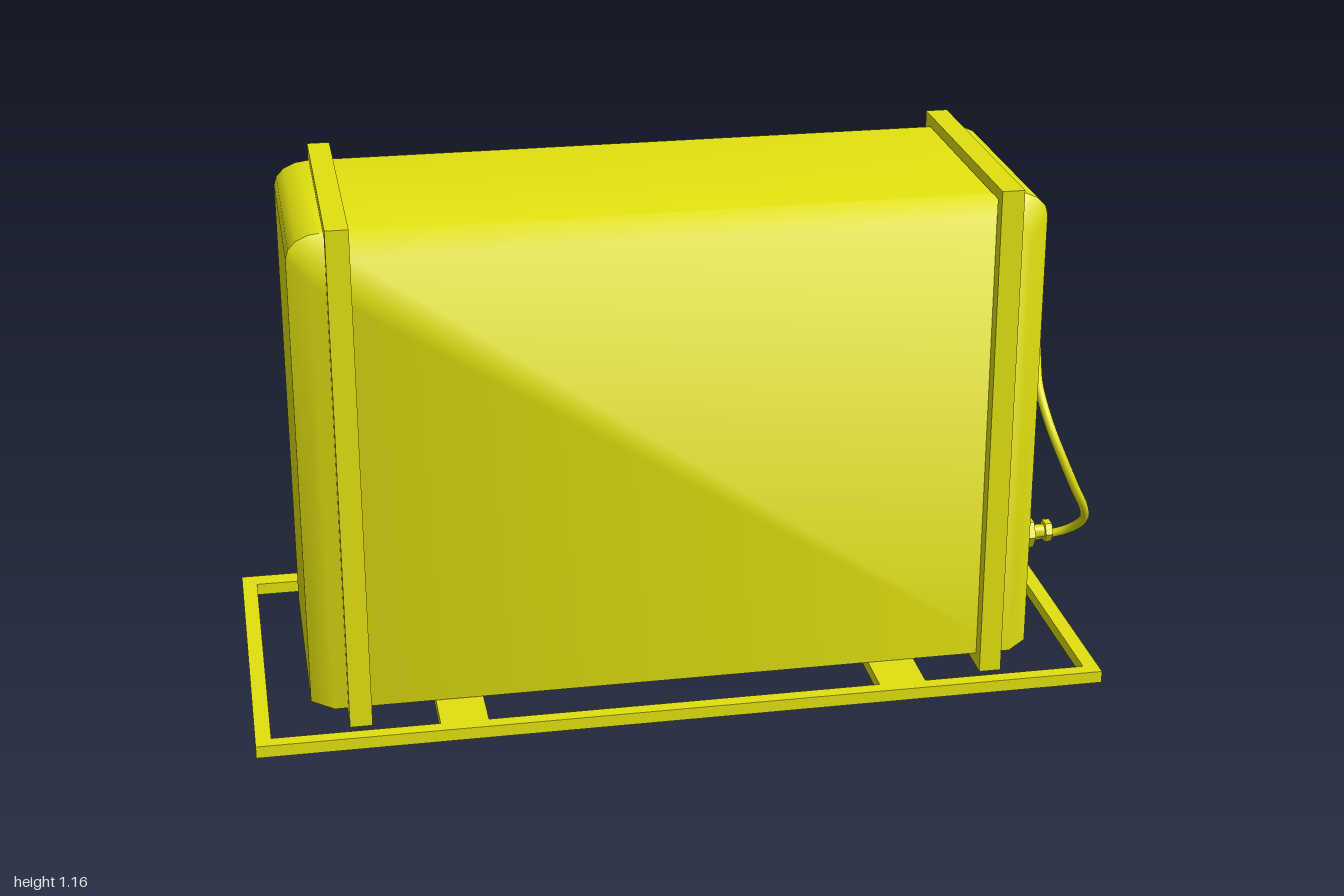
import * as THREE from 'three';
import { toCreasedNormals } from 'three/addons/utils/BufferGeometryUtils.js';

const yellow = new THREE.MeshStandardMaterial({ color: 0xe0e010 });
yellow.name = 'yellow';

function add(parent, name, geometry) {
  const mesh = new THREE.Mesh(geometry, yellow);
  mesh.name = name;
  parent.add(mesh);
  return mesh;
}

// Box given by its limits on each axis
function box(parent, name, x0, x1, y0, y1, z0, z1) {
  const mesh = add(parent, name, new THREE.BoxGeometry(x1 - x0, y1 - y0, z1 - z0));
  mesh.position.set((x0 + x1) / 2, (y0 + y1) / 2, (z0 + z1) / 2);
}

// Outline of the tank seen from the front: flat bottom, rounded top corners
function tankRing(insetX, insetY, z) {
  const centre = -0.0425, half = 0.8275 - insetX, top = 1.13 - insetY;
  const rx = 0.08, ry = 0.055, steps = 4;
  const right = [[half, 0.03]];
  for (let i = 0; i <= steps; i++) {
    const a = (i / steps) * Math.PI / 2;
    right.push([half - rx + rx * Math.cos(a), top - ry + ry * Math.sin(a)]);
  }
  const left = right.map(([x, y]) => [-x, y]).reverse();
  return [...right, ...left].map(([x, y]) => [x + centre, y, z]);
}

// Tank: constant section with a bevel towards the front face
function tankGeometry() {
  const rings = [tankRing(0, 0, -0.27), tankRing(0, 0, 0.24), tankRing(0.05, 0.047, 0.285)];
  const n = rings[0].length, last = (rings.length - 1) * n, index = [];
  for (let r = 0; r < rings.length - 1; r++) {
    for (let i = 0; i < n; i++) {
      const a = r * n + i, b = r * n + (i + 1) % n;
      index.push(a, b, a + n, b, b + n, a + n);
    }
  }
  for (let i = 1; i < n - 1; i++) {
    index.push(last, last + i, last + i + 1);
    index.push(0, i + 1, i);
  }
  const g = new THREE.BufferGeometry();
  g.setAttribute('position', new THREE.Float32BufferAttribute(rings.flat(2), 3));
  g.setIndex(index);
  return toCreasedNormals(g, 0.82);
}

// Row of coaxial pieces along +x: [start, end, radius, sides]
function fitting(parent, name, y, pieces) {
  const group = new THREE.Group();
  group.name = name;
  group.position.set(0, y, 0.01);
  for (const [x0, x1, radius, sides] of pieces) {
    const g = new THREE.CylinderGeometry(radius, radius, x1 - x0, sides);
    const part = add(group, sides === 6 ? 'hexNut' : 'stem', toCreasedNormals(g, 0.7));
    part.rotation.z = -Math.PI / 2;
    part.position.x = (x0 + x1) / 2;
  }
  parent.add(group);
}

export function createModel() {
  const model = new THREE.Group();
  model.name = 'strappedTank';

  add(model, 'tank', tankGeometry());

  // Base frame with two cross bars
  const base = new THREE.Group();
  base.name = 'baseFrame';
  model.add(base);
  box(base, 'backRail', -1, 0.915, 0, 0.028, -0.424, -0.377);
  box(base, 'frontRail', -1, 0.915, 0, 0.028, 0.388, 0.42);
  box(base, 'rightRail', -1, -0.965, 0, 0.028, -0.377, 0.388);
  box(base, 'leftRail', 0.88, 0.915, 0, 0.028, -0.377, 0.388);
  for (const x of [-0.595, 0.4]) box(base, 'crossBar', x, x + 0.107, 0, 0.028, -0.377, 0.388);

  // Rectangular straps around the tank
  for (const x of [-0.765, 0.68]) {
    const outline = new THREE.Shape([[-0.32, 0], [0.3, 0], [0.3, 1.16], [-0.32, 1.16]]
      .map(p => new THREE.Vector2(...p)));
    outline.holes.push(new THREE.Path([[-0.288, 0.03], [-0.288, 1.133], [0.268, 1.133], [0.268, 0.03]]
      .map(p => new THREE.Vector2(...p))));
    const g = new THREE.ExtrudeGeometry(outline, { depth: 0.05, bevelEnabled: false });
    const strap = add(model, 'strap', g.translate(0, 0, -0.025));
    strap.rotation.y = Math.PI / 2;
    strap.position.x = x;
  }

  // Valve fittings on the left end
  fitting(model, 'upperFitting', 0.3, [
    [0.78, 0.81, 0.037, 6], [0.81, 0.84, 0.017, 16], [0.835, 0.85, 0.027, 6],
  ]);
  fitting(model, 'lowerFitting', 0.195, [
    [0.78, 0.81, 0.055, 6], [0.81, 0.9, 0.016, 16], [0.84, 0.866, 0.038, 6], [0.895, 0.912, 0.027, 6],
  ]);

  // Bent hose from the back corner to the lower fitting
  const path = new THREE.CatmullRomCurve3([
    [0.69, 0.885, -0.287], [0.785, 0.815, -0.284], [0.85, 0.755, -0.275], [0.905, 0.68, -0.235],
    [0.91, 0.65, -0.18], [0.885, 0.61, -0.08], [0.868, 0.565, 0], [0.88, 0.49, 0.06],
    [0.905, 0.42, 0.085], [0.94, 0.34, 0.087], [0.975, 0.27, 0.065], [0.985, 0.22, 0.025],
    [0.96, 0.18, -0.015], [0.9, 0.16, -0.037], [0.78, 0.15, -0.042],
  ].map(p => new THREE.Vector3(...p)));
  add(model, 'hose', new THREE.TubeGeometry(path, 90, 0.011, 10));

  return model;
}
